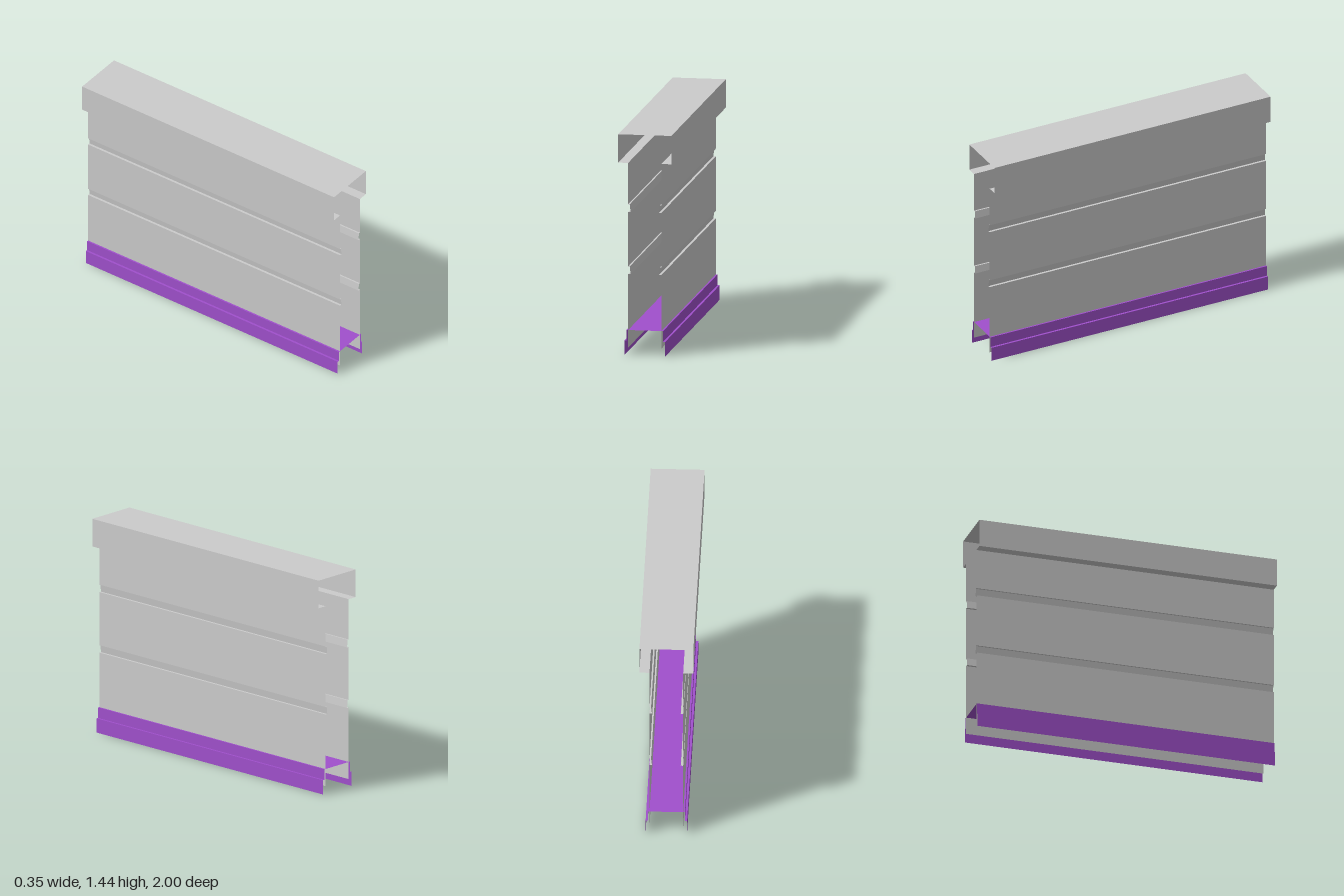
import * as THREE from 'three';

const LENGTH = 2;

// Folds a thin open sheet along a profile of [x, y] points, running the full length in z
function foldedSheet(name, profile, color) {
  const positions = [];
  const h = LENGTH / 2;
  for (let i = 0; i < profile.length - 1; i++) {
    const [ax, ay] = profile[i];
    const [bx, by] = profile[i + 1];
    positions.push(
      ax, ay, h, bx, by, -h, bx, by, h,
      ax, ay, h, ax, ay, -h, bx, by, -h
    );
  }
  const geometry = new THREE.BufferGeometry();
  geometry.setAttribute('position', new THREE.Float32BufferAttribute(positions, 3));
  geometry.computeVertexNormals();
  const material = new THREE.MeshStandardMaterial({ color, side: THREE.DoubleSide });
  const mesh = new THREE.Mesh(geometry, material);
  mesh.name = name;
  return mesh;
}

// Completes a symmetric profile from its +x half (listed from the centre outwards)
const mirrored = (half) => [...half].reverse().concat(half.map(([x, y]) => [-x, y]));

export function createModel() {
  const group = new THREE.Group();
  group.name = 'panelWall';
  const grey = 0xcccccc;
  const purple = 0xa050cc;
  const wallX = 0.108;

  // Top cap: flat cover, side fascias and lips returning to the walls
  group.add(foldedSheet('topCap',
    mirrored([[0.173, 1.44], [0.173, 1.255], [wallX, 1.255]]), grey));

  // Side walls with two horizontal grooves each
  const wall = [[wallX, 1.255]];
  for (const top of [0.985, 0.58]) {
    wall.push([wallX, top], [wallX - 0.01, top], [wallX - 0.016, top - 0.05], [wallX, top - 0.05]);
  }
  wall.push([wallX, 0.05]);
  for (const [name, s] of [['leftWall', 1], ['rightWall', -1]]) {
    group.add(foldedSheet(name, wall.map(([x, y]) => [s * x, y]), grey));
  }

  // Base channel: floor between the walls and stepped skirts outside them
  group.add(foldedSheet('baseChannel',
    mirrored([[0.119, 0.165], [0.119, 0.095], [0.133, 0.095], [0.133, 0]]), purple));

  return group;
}
